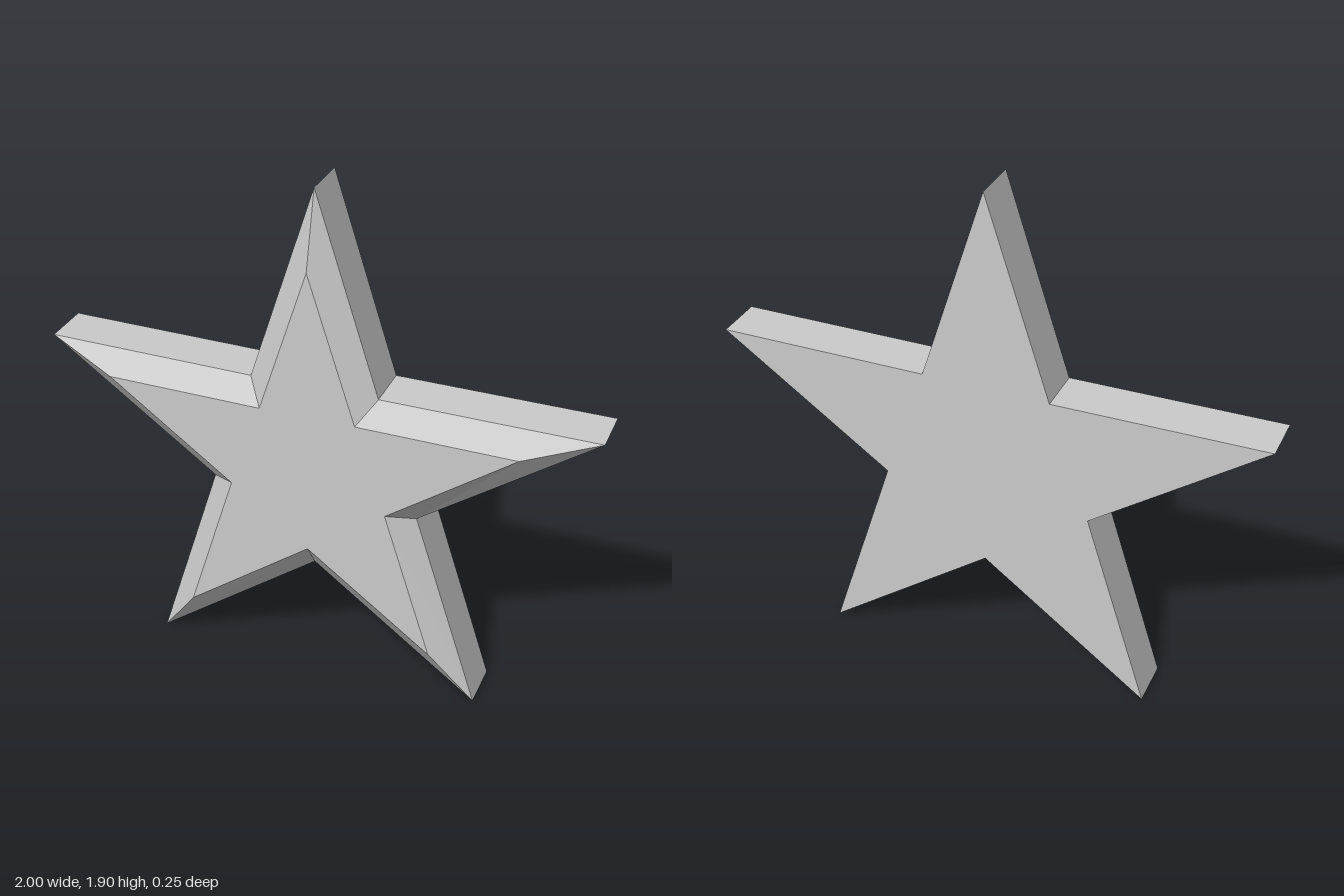
import * as THREE from 'three';

// Star outlines, counter-clockwise seen from the front, starting at the top tip
const RIM = [
  [0, 1.905], [-0.235, 1.178], [-1, 1.188], [-0.383, 0.74], [-0.615, 0.005],
  [0, 0.46], [0.615, 0], [0.378, 0.738], [1, 1.176], [0.23, 1.18],
];
const FACE = [
  [0, 1.637], [-0.175, 1.098], [-0.745, 1.105], [-0.288, 0.77], [-0.46, 0.22],
  [0, 0.56], [0.46, 0.22], [0.285, 0.768], [0.74, 1.095], [0.172, 1.1],
];
const CENTRE = [0, 0.96];
const BACK_Z = -0.125, RIM_Z = 0.055, FACE_Z = 0.125;

const lift = (outline, z) => outline.map(([x, y]) => [x, y, z]);

function facets(triangles) {
  const geometry = new THREE.BufferGeometry();
  geometry.setAttribute('position', new THREE.Float32BufferAttribute(triangles.flat(2), 3));
  geometry.computeVertexNormals();
  return geometry;
}

// Band of quads joining a rear loop to a loop in front of it
function band(rear, front) {
  return facets(rear.flatMap((a, i) => {
    const j = (i + 1) % rear.length;
    return [[a, rear[j], front[j]], [a, front[j], front[i]]];
  }));
}

// Flat star, fanned from its centre
function cap(loop, facesFront) {
  const centre = [...CENTRE, loop[0][2]];
  return facets(loop.map((a, i) => {
    const b = loop[(i + 1) % loop.length];
    return facesFront ? [centre, a, b] : [centre, b, a];
  }));
}

export function createModel() {
  const star = new THREE.Group();
  star.name = 'star';
  const material = new THREE.MeshStandardMaterial({ color: 0xcccccc, flatShading: true });
  const add = (name, geometry) => {
    const mesh = new THREE.Mesh(geometry, material);
    mesh.name = name;
    star.add(mesh);
  };

  const back = lift(RIM, BACK_Z);
  const rim = lift(RIM, RIM_Z);
  const face = lift(FACE, FACE_Z);

  add('backFace', cap(back, false));
  add('sideWalls', band(back, rim));
  add('frontBevel', band(rim, face));
  add('frontFace', cap(face, true));
  return star;
}
